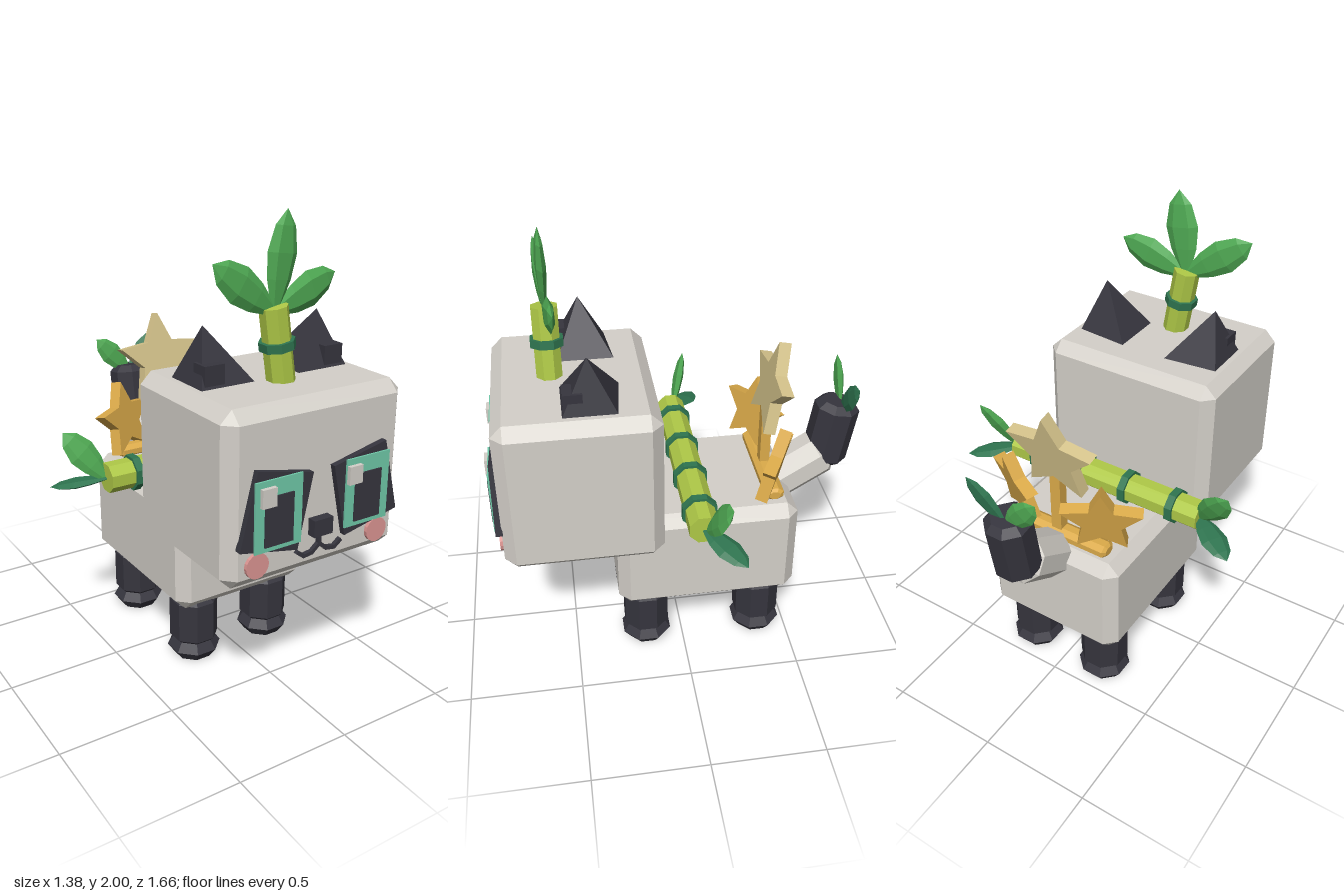
import * as THREE from 'three';
import { ConvexGeometry } from 'three/addons/geometries/ConvexGeometry.js';

const mat = (name, color) => {
  const m = new THREE.MeshStandardMaterial({ color });
  m.name = name;
  return m;
};
const V = (x, y, z) => new THREE.Vector3(x, y, z);

export function createModel() {
  const root = new THREE.Group();
  const M = {
    fur: mat('pale grey fur', 0xd4d0c9),
    dark: mat('charcoal', 0x36353e),
    teal: mat('teal eye', 0x70c9a9),
    pink: mat('pink cheek', 0xdd9693),
    bamboo: mat('bamboo green', 0xafc947),
    band: mat('dark green', 0x2f7550),
    leaf: mat('leaf green', 0x50ab54),
    gold: mat('gold', 0xdcab4a),
    tan: mat('pale gold', 0xd6c48c),
  };

  // Faceted mesh with hard edges
  const add = (name, geo, material, parent = root) => {
    const g = geo.index ? geo.toNonIndexed() : geo;
    g.computeVertexNormals();
    const mesh = new THREE.Mesh(g, material);
    mesh.name = name;
    parent.add(mesh);
    return mesh;
  };
  const box = (name, x0, x1, y0, y1, z0, z1, material) => {
    const m = add(name, new THREE.BoxGeometry(x1 - x0, y1 - y0, z1 - z0), material);
    m.position.set((x0 + x1) / 2, (y0 + y1) / 2, (z0 + z1) / 2);
    return m;
  };
  // Box with every edge cut off by c
  const chamferBox = (name, x, y0, y1, z0, z1, c, material) => {
    const h = [x, (y1 - y0) / 2, (z1 - z0) / 2];
    const pts = [];
    for (const sx of [-1, 1]) for (const sy of [-1, 1]) for (const sz of [-1, 1])
      for (let k = 0; k < 3; k++) {
        const e = h.map((v, i) => (i === k ? v : v - c));
        pts.push(V(sx * e[0], sy * e[1], sz * e[2]));
      }
    add(name, new ConvexGeometry(pts), material).position.set(0, (y0 + y1) / 2, (z0 + z1) / 2);
  };
  // Eight-sided turned shape from [radius, height] pairs; radius is to the flats
  const turned = (profile) => new THREE.LatheGeometry(
    profile.map(([r, y]) => new THREE.Vector2(r / Math.cos(Math.PI / 8), y)), 8, Math.PI / 8);
  // Stand a geometry's y axis from a along a-b, with its z axis near normal
  const aim = (geo, a, b, normal) => {
    const y = b.clone().sub(a).normalize();
    const x = y.clone().cross(normal).normalize();
    const z = x.clone().cross(y);
    return geo.applyMatrix4(new THREE.Matrix4().makeBasis(x, y, z).setPosition(a));
  };
  const rod = (name, a, b, r, c, material, normal = V(0, 0, 1)) => {
    const l = a.distanceTo(b);
    const profile = c > 0
      ? [[0, 0], [r - c, 0], [r, c], [r, l - c], [r - c, l], [0, l]]
      : [[0, 0], [r, 0], [r, l], [0, l]];
    return add(name, aim(turned(profile), a, b, normal), material);
  };
  const leaf = (name, a, b, width, normal, material) => {
    const l = a.distanceTo(b), w = width / 2;
    const g = new THREE.LatheGeometry(
      [[0, 0], [0.3, 0.04], [0.8, 0.32], [1, 0.58], [0.68, 0.84], [0, 1]]
        .map(([r, y]) => new THREE.Vector2(r * w, y * l)), 6, Math.PI / 2);
    g.scale(1, 1, 0.3);
    add(name, aim(g, a, b, normal), material);
  };
  const plate = (name, pts, z, depth, material) => {
    const s = new THREE.Shape(pts.map(([x, y]) => new THREE.Vector2(x, y)));
    const m = add(name, new THREE.ExtrudeGeometry(s, { depth, bevelEnabled: false }), material);
    m.position.z = z;
    return m;
  };

  // Body, head and legs
  chamferBox('body', 0.33, 0.285, 0.775, -0.51, 0.3, 0.05, M.fur);
  chamferBox('head', 0.42, 0.64, 1.35, 0.1, 0.78, 0.05, M.fur);
  for (const sx of [-1, 1]) for (const z of [0.17, -0.36]) {
    const g = turned([[0, 0], [0.08, 0], [0.11, 0.045], [0.085, 0.085], [0.1, 0.1], [0.1, 0.28], [0.08, 0.31], [0, 0.31]]);
    add(z > 0 ? 'frontLeg' : 'backLeg', g, M.dark).position.set(sx * 0.19, 0, z);
  }

  // Tail
  rod('tailBase', V(0, 0.71, -0.465), V(0, 0.855, -0.70), 0.1, 0.03, M.fur);
  rod('tailTip', V(0, 0.80, -0.695), V(0, 1.11, -0.745), 0.095, 0.03, M.dark);
  for (const sx of [-1, 1])
    leaf('tailLeaf', V(0, 1.07, -0.755), V(sx * 0.165, 1.25, -0.775), 0.11, V(0, 0.1, 1), sx > 0 ? M.band : M.leaf);

  for (const s of [-1, 1]) {
    // Ear
    const ear = [[0.35, 1.34, 0.27], [0.1, 1.34, 0.245], [0.1, 1.34, 0.5], [0.35, 1.34, 0.5], [0.275, 1.57, 0.385]];
    add('ear', new ConvexGeometry(ear.map(([x, y, z]) => V(s * x, y, z))), M.dark);
    box('innerEar', s * 0.285 - 0.045, s * 0.285 + 0.045, 1.35, 1.44, 0.41, 0.49, M.dark);

    // Eye
    plate('eyePatch', [[0.305, 1.125], [0.05, 1.07], [0.115, 0.765], [0.38, 0.82]].map(([x, y]) => [s * x, y]), 0.775, 0.03, M.dark);
    const cx = s * 0.213;
    box('eye', cx - 0.107, cx + 0.107, 0.8, 1.085, 0.805, 0.813, M.teal);
    box('pupil', cx - 0.065, cx + 0.065, 0.82, 1.02, 0.813, 0.819, M.dark);
    const hx = s > 0 ? 0.14 : -0.267;
    box('eyeHighlight', hx - 0.032, hx + 0.032, 0.985, 1.06, 0.81, 0.83, M.fur);

    // Cheek
    const cheek = add('cheek', new THREE.CylinderGeometry(0.052, 0.052, 0.02, 16).rotateX(Math.PI / 2), M.pink);
    cheek.position.set(s * 0.292, 0.74, 0.785);

    // Mouth: two linked strokes on each side
    const mouth = [[0, 0.757], [0.035, 0.728], [0.075, 0.722], [0.105, 0.745]];
    for (let i = 0; i < 3; i++) {
      const [a, b] = [mouth[i], mouth[i + 1]];
      const dx = s * (b[0] - a[0]), dy = b[1] - a[1];
      const m = add('mouth', new THREE.BoxGeometry(Math.hypot(dx, dy) + 0.008, 0.016, 0.02), M.dark);
      m.position.set(s * (a[0] + b[0]) / 2, (a[1] + b[1]) / 2, 0.787);
      m.rotation.z = Math.atan2(dy, dx);
    }
  }
  box('nose', -0.046, 0.044, 0.8, 0.87, 0.775, 0.818, M.dark);
  box('mouthLine', -0.008, 0.008, 0.75, 0.8, 0.777, 0.797, M.dark);

  // Bamboo carried across the back
  rod('backBamboo', V(-0.49, 0.84, -0.05), V(0.49, 0.84, -0.05), 0.062, 0, M.bamboo);
  for (const x of [-0.36, -0.12, 0.12, 0.36])
    rod('bambooRing', V(x - 0.017, 0.84, -0.05), V(x + 0.017, 0.84, -0.05), 0.074, 0, M.band);
  for (const s of [-1, 1]) {
    leaf('upperSideLeaf', V(s * 0.48, 0.83, -0.06), V(s * 0.645, 1.05, -0.135), 0.13, V(0, 0.3, 1), M.leaf);
    leaf('lowerSideLeaf', V(s * 0.47, 0.84, -0.05), V(s * 0.69, 0.79, -0.195), 0.12, V(s * 0.15, 1, -0.1), M.band);
  }

  // Bamboo sprout on the head
  const foot = V(-0.005, 1.33, 0.53), top = V(-0.052, 1.645, 0.53);
  rod('headBamboo', foot, top, 0.054, 0, M.bamboo);
  rod('headBambooRing', foot.clone().lerp(top, 0.47), foot.clone().lerp(top, 0.58), 0.068, 0, M.band);
  for (const [x, y, z] of [[-0.34, 1.83, 0.555], [0.005, 2.0, 0.53], [0.265, 1.74, 0.5]])
    leaf('headLeaf', V(-0.045, 1.62, 0.53), V(x, y, z), 0.15, V(0.1, 0, 1), M.leaf);

  // Star ornament on the rump
  const star = (name, R, x, y, z, yaw, material) => {
    const pts = [];
    for (let i = 0; i < 10; i++) {
      const r = i % 2 ? R * 0.48 : R, t = Math.PI / 2 + i * Math.PI / 5;
      pts.push([r * Math.cos(t), r * Math.sin(t)]);
    }
    const m = plate(name, pts, 0, 0.055, material);
    m.geometry.translate(0, 0, -0.0275);
    m.position.set(x, y, z);
    m.rotation.set(-0.21, yaw, 0, 'YXZ');
  };
  star('middleStar', 0.215, 0, 1.21, -0.435, 0, M.tan);
  for (const s of [-1, 1]) star('sideStar', 0.18, s * 0.215, 0.95, -0.41, -s * 0.48, M.gold);
  const bar = rod('starBar', V(-0.25, 0, 0), V(0.25, 0, 0), 0.03, 0.012, M.gold);
  bar.geometry.scale(1, 1, 1.4);
  bar.geometry.computeVertexNormals();
  bar.position.set(0, 0.795, -0.41);
  box('starPost', -0.025, 0.025, 0.8, 1.12, -0.435, -0.39, M.gold);

  return root;
}
